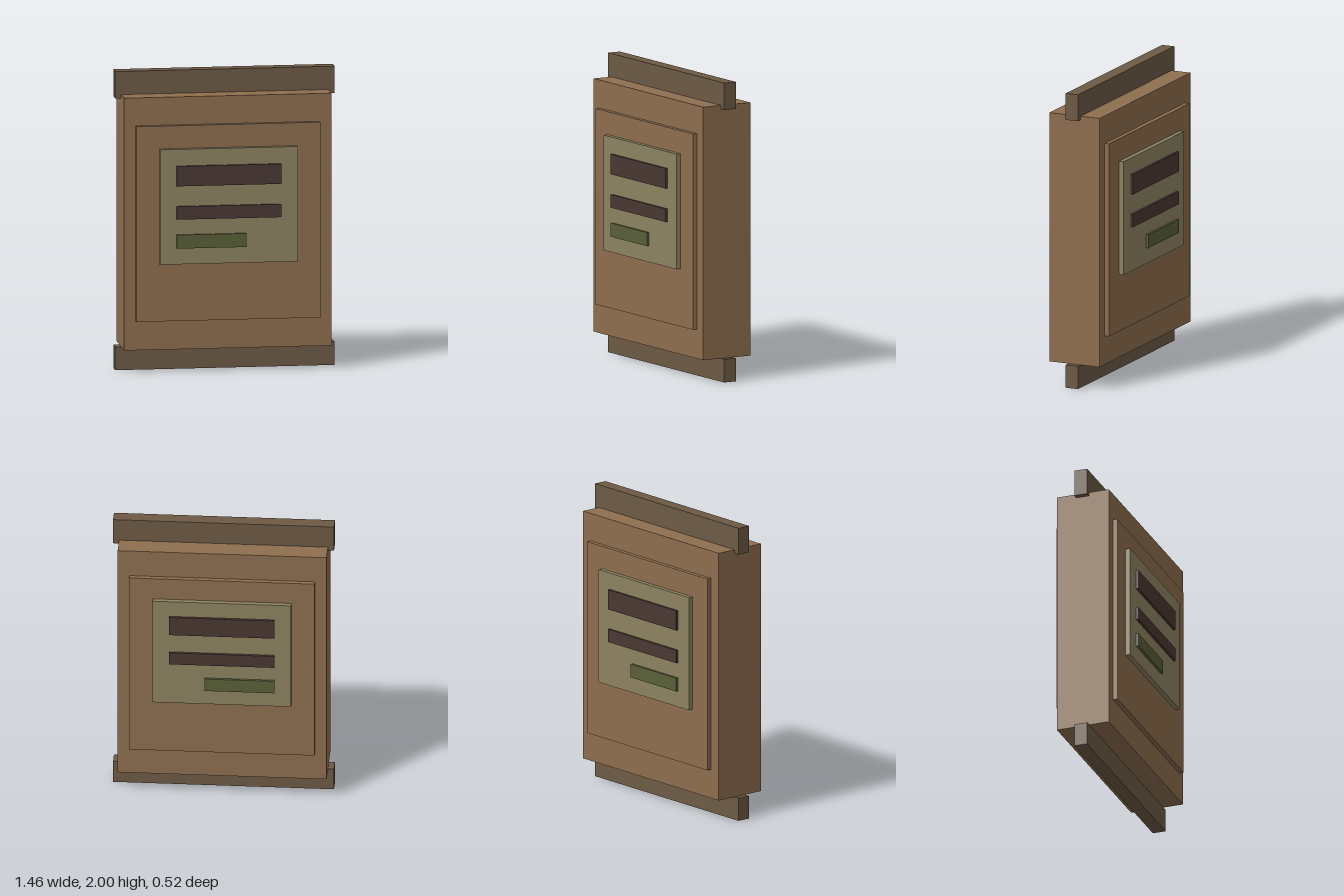
import * as THREE from 'three';

const material = (name, color) => {
  const m = new THREE.MeshStandardMaterial({ color });
  m.name = name;
  return m;
};

export function createModel() {
  const group = new THREE.Group();
  const wrapper = material('wrapper brown', 0x8e6e4f);
  const seal = material('seal brown', 0x6d5a45);
  const paper = material('label khaki', 0x8d8361);
  const ink = material('dark brown', 0x4a3832);
  const green = material('olive green', 0x596039);

  // Box given by its extents along each axis
  const box = (name, mat, [x0, x1], [y0, y1], [z0, z1]) => {
    const mesh = new THREE.Mesh(new THREE.BoxGeometry(x1 - x0, y1 - y0, z1 - z0), mat);
    mesh.position.set((x0 + x1) / 2, (y0 + y1) / 2, (z0 + z1) / 2);
    mesh.name = name;
    group.add(mesh);
  };

  // Packet body and the crimped seals at both ends
  box('body', wrapper, [-0.69, 0.69], [0.155, 1.845], [-0.183, 0.183]);
  box('topSeal', seal, [-0.73, 0.73], [1.82, 2], [-0.045, 0.045]);
  box('bottomSeal', seal, [-0.73, 0.73], [0, 0.155], [-0.045, 0.045]);

  // Stepped panel, label and printed bars, repeated on front and back
  const layers = [
    ['Panel', wrapper, [-0.613, 0.613], [0.35, 1.658], 0.183, 0.214],
    ['Label', paper, [-0.46, 0.457], [0.735, 1.505], 0.214, 0.246],
    ['TitleBar', ink, [-0.35, 0.345], [1.26, 1.394], 0.246, 0.262],
    ['MiddleBar', ink, [-0.35, 0.345], [1.037, 1.124], 0.246, 0.262],
    ['GreenBar', green, [-0.35, 0.112], [0.843, 0.934], 0.246, 0.262],
  ];
  for (const [name, mat, x, y, z0, z1] of layers) {
    box('front' + name, mat, x, y, [z0, z1]);
    box('back' + name, mat, x, y, [-z1, -z0]);
  }
  return group;
}
